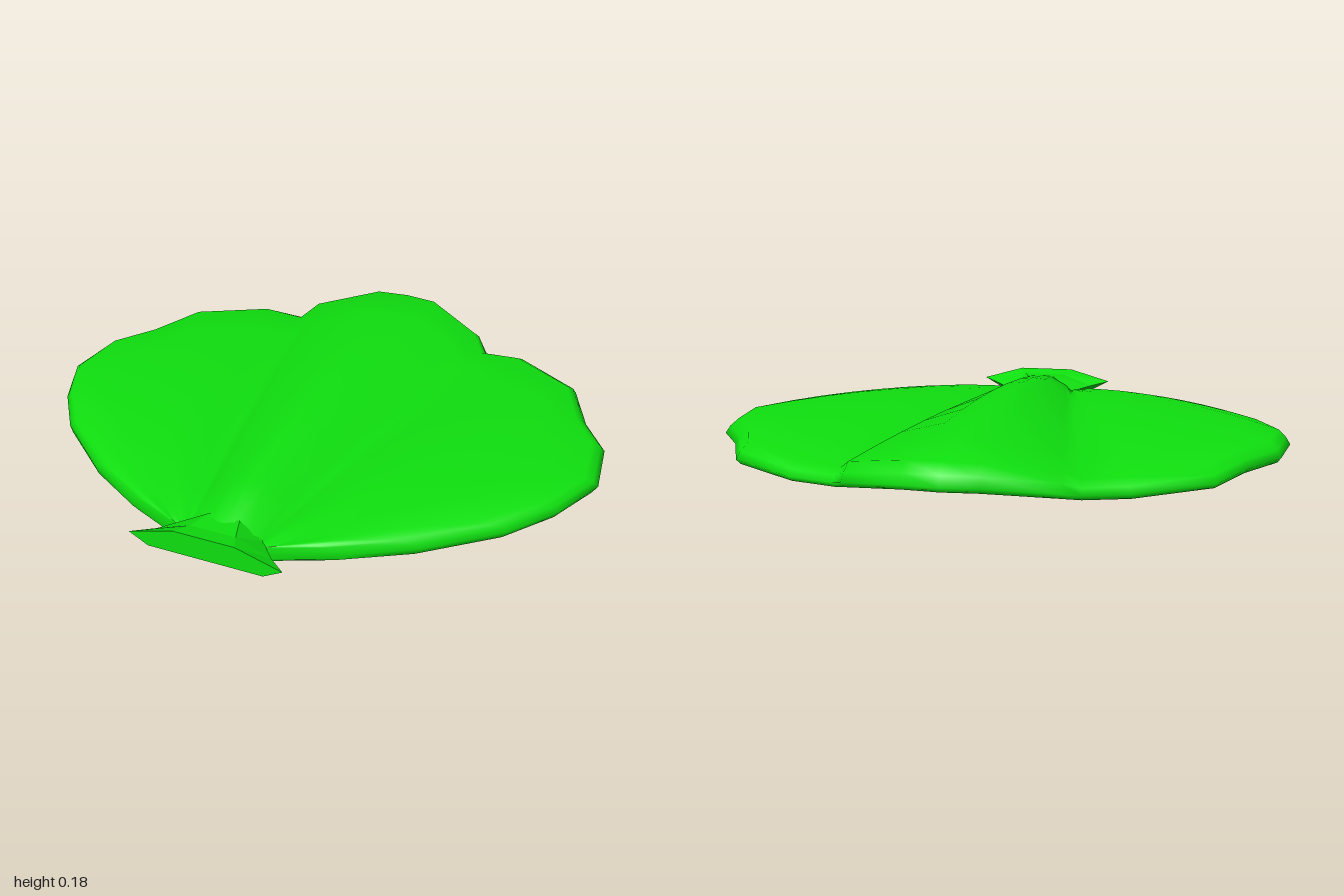
import * as THREE from 'three';

const green = new THREE.MeshStandardMaterial({ color: 0x0fe00f });
green.name = 'shellGreen';

// Ribs of the left half, back centre to hinge:
// rim x, rim z, base x, then heights at base, middle, shoulder and rim
const RIBS = [
  [0, -0.91, 0, 0.12, 0.184, 0.145, 0.08],
  [0.12, -0.9, 0.04, 0.118, 0.176, 0.143, 0.08],
  [0.34, -0.78, 0.1, 0.085, 0.115, 0.1, 0.045],
  [0.39, -0.71, 0.12, 0.062, 0.088, 0.062, 0.025],
  [0.54, -0.7, 0.124, 0.064, 0.105, 0.075, 0.035],
  [0.78, -0.54, 0.127, 0.066, 0.116, 0.088, 0.04],
  [0.87, -0.33, 0.13, 0.066, 0.115, 0.09, 0.042],
  [0.97, -0.18, 0.132, 0.066, 0.112, 0.092, 0.045],
  [1, 0.04, 0.134, 0.066, 0.107, 0.088, 0.045],
  [0.92, 0.23, 0.136, 0.066, 0.1, 0.084, 0.045],
  [0.8, 0.4, 0.138, 0.066, 0.093, 0.08, 0.045],
  [0.58, 0.59, 0.14, 0.066, 0.085, 0.077, 0.045],
  [0.38, 0.71, 0.142, 0.066, 0.078, 0.072, 0.045],
  [0.16, 0.8, 0.145, 0.065, 0.068, 0.066, 0.045],
];
const BASE_Z = 0.8, STEPS = 8, THICK = 0.048;

// Closed section along one rib: over the top, round the rim, back underneath
function ribSection([x, z, bx, y0, y1, y2, rim], side) {
  const len = Math.hypot(x - bx, z - BASE_Z);
  const shoulder = 1 - Math.min(0.4, 0.055 / len);
  const at = (t, y) => [side * (bx + (x - bx) * t), y, BASE_Z + (z - BASE_Z) * t];
  const arch = (u) => y0 * (1 - u) * (1 - 2 * u) + 4 * y1 * u * (1 - u) + y2 * u * (2 * u - 1);
  const top = [], under = [];
  for (let k = 0; k <= STEPS; k++) {
    const u = k / STEPS;
    top.push(at(u * shoulder, arch(u)));
    under.unshift(at(u * shoulder, Math.max(0.012, arch(u) - THICK)));
  }
  const lip = 1 - (1 - shoulder) * 0.35;
  return [...top, at(lip, rim + (y2 - rim) * 0.5), at(1, rim), at(lip, rim - 0.018), ...under];
}

// Skin closed sections with quads
function skin(sections, capped) {
  const n = sections[0].length, index = [];
  for (let j = 0; j < sections.length - 1; j++) {
    for (let k = 0; k < n; k++) {
      const a = j * n + k, d = j * n + (k + 1) % n;
      index.push(a, a + n, d, a + n, d + n, d);
    }
  }
  if (capped) {
    const last = (sections.length - 1) * n;
    for (let k = 1; k < n - 1; k++) {
      index.push(0, k, k + 1, last, last + k + 1, last + k);
    }
  }
  const g = new THREE.BufferGeometry();
  g.setAttribute('position', new THREE.Float32BufferAttribute(sections.flat(2), 3));
  g.setIndex(index);
  return g;
}

export function createModel() {
  const group = new THREE.Group();
  group.name = 'scallopShell';

  // Fanned shell, right rim round the back to left rim
  const sections = [
    ...RIBS.slice(1).reverse().map((r) => ribSection(r, -1)),
    ...RIBS.map((r) => ribSection(r, 1)),
  ];
  const fan = skin(sections, true);
  fan.computeVertexNormals();
  const shell = new THREE.Mesh(fan, green);
  shell.name = 'fannedShell';
  group.add(shell);

  // Flared hinge, widening to the front
  const hingeSection = (z, w, top, tip, bottom) => [
    [w, tip, z], [w * 0.4, top, z], [-w * 0.4, top, z],
    [-w, tip, z], [-w * 0.75, bottom, z], [w * 0.75, bottom, z],
  ];
  const hingeGeo = skin([
    hingeSection(0.91, 0.26, 0.13, 0.085, 0.05),
    hingeSection(0.85, 0.195, 0.119, 0.075, 0.038),
    hingeSection(0.77, 0.13, 0.12, 0.065, 0.032),
  ], true).toNonIndexed();
  // Sections run front to back, so turn the faces outward where needed
  hingeGeo.computeVertexNormals();
  const p = hingeGeo.attributes.position, nrm = hingeGeo.attributes.normal;
  const centre = new THREE.Vector3(0, 0.08, 0.84);
  let facing = 0;
  for (let i = 0; i < p.count; i++) {
    const v = new THREE.Vector3().fromBufferAttribute(p, i).sub(centre);
    facing += v.dot(new THREE.Vector3().fromBufferAttribute(nrm, i));
  }
  if (facing < 0) {
    for (let i = 0; i < p.count; i += 3) {
      const b = [p.getX(i + 1), p.getY(i + 1), p.getZ(i + 1)];
      p.setXYZ(i + 1, p.getX(i + 2), p.getY(i + 2), p.getZ(i + 2));
      p.setXYZ(i + 2, ...b);
    }
    hingeGeo.computeVertexNormals();
  }
  const hinge = new THREE.Mesh(hingeGeo, green);
  hinge.name = 'hinge';
  group.add(hinge);
  return group;
}
